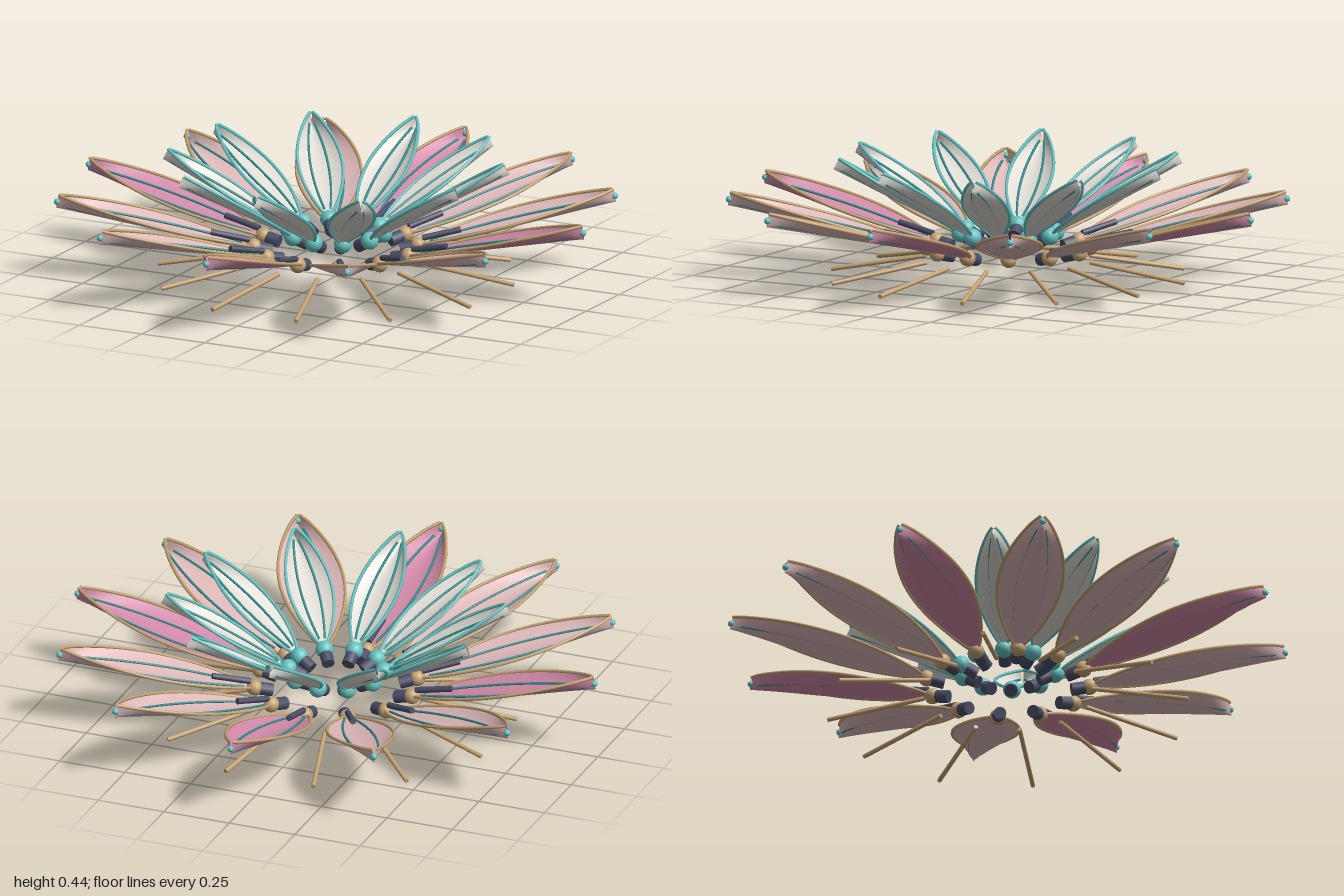
import * as THREE from 'three';

const mat = (name, color, side = THREE.FrontSide) => {
  const m = new THREE.MeshStandardMaterial({ color, side });
  m.name = name;
  return m;
};

export function createModel() {
  const M = {
    palePink: mat('pale pink', 0xdfb9ba, THREE.DoubleSide),
    deepPink: mat('deep pink', 0xd28aa8, THREE.DoubleSide),
    ivory: mat('ivory', 0xdedad3, THREE.DoubleSide),
    bronze: mat('bronze', 0xc5a273),
    teal: mat('teal', 0x66c2c0),
    darkTeal: mat('dark teal', 0x35908f),
    slate: mat('slate', 0x4a4e66),
  };
  const model = new THREE.Group();
  model.name = 'flower';

  const add = (parent, name, geometry, material, x = 0, y = 0, z = 0) => {
    const mesh = new THREE.Mesh(geometry, material);
    mesh.name = name;
    mesh.position.set(x, y, z);
    parent.add(mesh);
    return mesh;
  };

  // Leaf surface, cupped more towards the tip: t runs along it, v across from -1 to 1
  const petalPoint = (s, t, v) => new THREE.Vector3(
    s.inset + t * s.length,
    s.lift * Math.pow(t, 0.7) * v * v,
    v * (0.004 + s.width * Math.pow(Math.max(Math.sin(Math.PI * t), 0), 0.8)));

  const bladeGeometry = (s) => {
    const g = new THREE.PlaneGeometry(1, 1, 28, 12).rotateX(-Math.PI / 2);
    const p = g.attributes.position;
    for (let i = 0; i < p.count; i++) {
      const q = petalPoint(s, p.getX(i) + 0.5, p.getZ(i) * 2);
      p.setXYZ(i, q.x, q.y, q.z);
    }
    g.computeVertexNormals();
    return g;
  };

  // Tube that follows the blade at a constant v
  const ribGeometry = (s, v, t0, t1, radius) => {
    const pts = [];
    for (let i = 0; i <= 20; i++) {
      pts.push(petalPoint(s, t0 + (t1 - t0) * i / 20, v));
    }
    return new THREE.TubeGeometry(new THREE.CatmullRomCurve3(pts), 28, radius, 6);
  };

  const rod = (r, len) => new THREE.CylinderGeometry(r, r, len, 12).rotateZ(-Math.PI / 2);

  // A ring of petals, each with blade, rims, ribs, ball joint and socket
  const ring = (s) => {
    const blade = bladeGeometry(s);
    const rims = [-1, 1].map((v) => ribGeometry(s, v, 0, 1, 0.006));
    const ribs = [-1, 1].map((v) => ribGeometry(s, v * s.ribAt, 0.06, 0.95, 0.0045));
    const ball = new THREE.SphereGeometry(s.ball, 16, 12);
    const socket = rod(0.023, 0.05);
    for (let i = 0; i < s.count; i++) {
      const spoke = new THREE.Group();
      spoke.name = s.name;
      spoke.rotation.y = s.start + i * 2 * Math.PI / s.count;
      const petal = new THREE.Group();
      petal.name = s.name + 'Assembly';
      petal.position.set(s.radius, s.height, 0);
      petal.rotation.z = s.tilt;
      spoke.add(petal);
      model.add(spoke);
      add(petal, 'blade', blade, s.blade(i));
      rims.forEach((g) => add(petal, 'rim', g, s.rim));
      ribs.forEach((g) => add(petal, 'rib', g, M.darkTeal, 0, 0.0045, 0));
      add(petal, 'ballJoint', ball, s.rim);
      add(petal, 'socket', socket, M.slate, -0.04, 0, 0);
      if (s.extras) s.extras(petal);
    }
  };

  // Outer petals, the four on the axes in deeper pink
  const tip = new THREE.SphereGeometry(0.012, 12, 8);
  const actuator = rod(0.011, 0.14);
  ring({
    name: 'outerPetal', count: 12, start: 0, radius: 0.29, height: 0.113, tilt: 0.212,
    inset: 0, length: 0.717, width: 0.111, lift: 0.047, ribAt: 0.45,
    ball: 0.029, rim: M.bronze,
    blade: (i) => (i % 3 === 0 ? M.deepPink : M.palePink),
    extras: (petal) => {
      add(petal, 'tipBead', tip, M.teal, 0.717, 0.022, 0);
      add(petal, 'actuator', actuator, M.slate, 0.09, 0.022, 0);
    },
  });

  // Inner petals, steeper and smaller
  ring({
    name: 'innerPetal', count: 10, start: Math.PI / 10, radius: 0.17, height: 0.165, tilt: 0.485,
    inset: 0.012, length: 0.498, width: 0.075, lift: 0.042, ribAt: 0.4,
    ball: 0.032, rim: M.teal,
    blade: () => M.ivory,
  });

  // Slanted feet between the outer petals
  const from = new THREE.Vector3(0.3, 0.07, 0), to = new THREE.Vector3(0.645, 0.009, 0);
  const legGeometry = rod(0.008, from.distanceTo(to));
  for (let i = 0; i < 12; i++) {
    const spoke = new THREE.Group();
    spoke.name = 'foot';
    spoke.rotation.y = (i + 0.5) * Math.PI / 6;
    const leg = add(spoke, 'footRod', legGeometry, M.bronze);
    leg.position.lerpVectors(from, to, 0.5);
    leg.rotation.z = Math.atan2(to.y - from.y, to.x - from.x);
    model.add(spoke);
  }
  return model;
}
